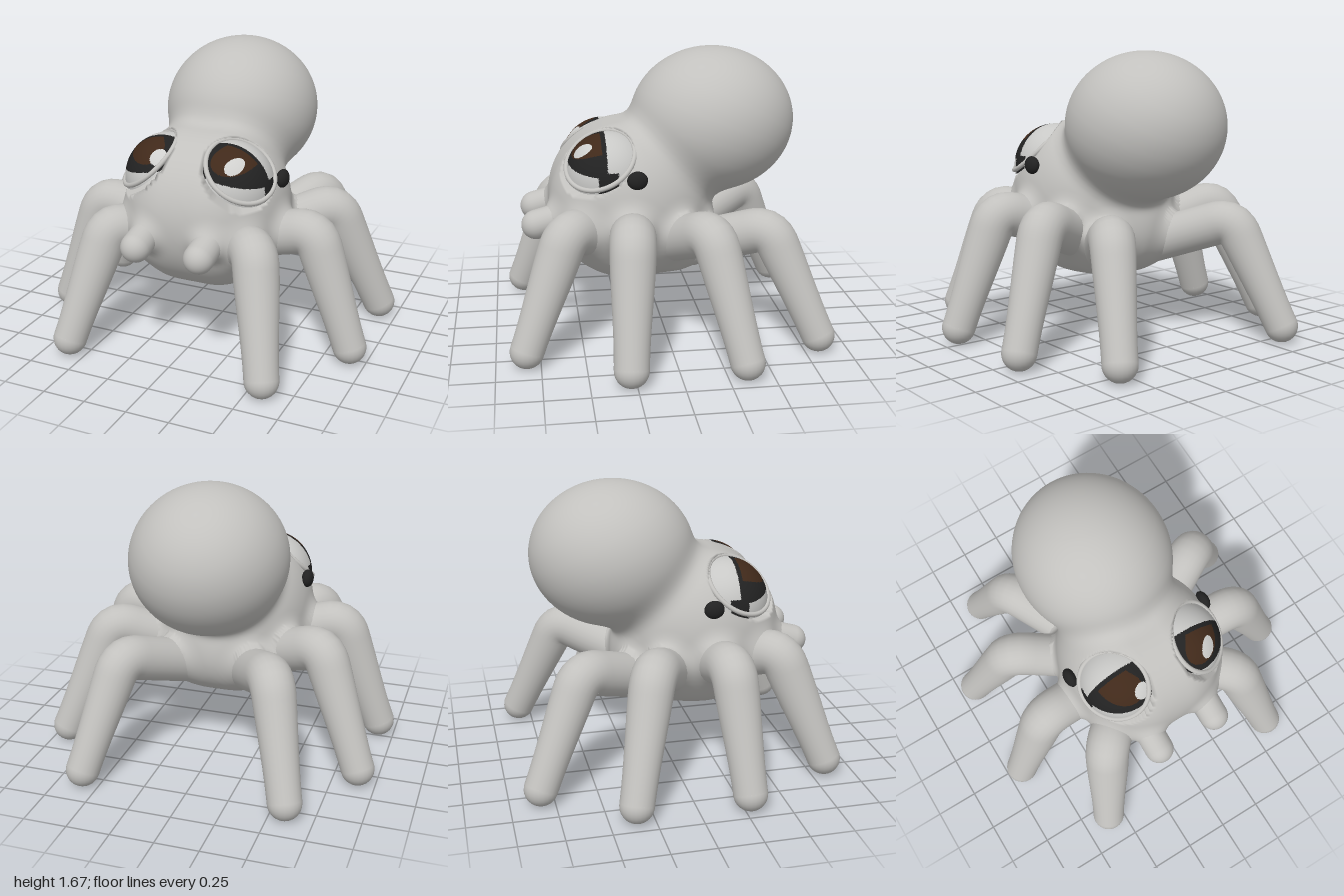
import * as THREE from 'three';
import { mergeVertices, mergeGeometries } from 'three/addons/utils/BufferGeometryUtils.js';

const V = (x, y, z) => new THREE.Vector3(x, y, z);
const material = (name, color, side = THREE.FrontSide) => {
  const m = new THREE.MeshStandardMaterial({ color, side });
  m.name = name;
  return m;
};

// Leg joints on the +x side, front to back
const LEGS = [
  { hip: V(0.2, 0.62, 0.35), knee: V(0.445, 0.74, 0.58), foot: V(0.59, 0.097, 0.825) },
  { hip: V(0.25, 0.64, 0.2), knee: V(0.665, 0.755, 0.24), foot: V(0.905, 0.097, 0.28) },
  { hip: V(0.22, 0.58, 0.02), knee: V(0.64, 0.755, -0.2), foot: V(0.895, 0.097, -0.35) },
  { hip: V(0.15, 0.52, -0.1), knee: V(0.44, 0.705, -0.565), foot: V(0.59, 0.097, -0.825) },
];
// Feelers and eye opening on the +x side
const FEELER = { a: V(0.19, 0.745, 0.58), b: V(0.19, 0.7, 0.745), radius: 0.085 };
const EYE = { rim: V(0.275, 1.09, 0.38), out: V(0.565, 0.735, 0.38).normalize(), rimRadius: 0.2, depth: 0.15 };
const eyeRadius = Math.hypot(EYE.rimRadius, EYE.depth);

// Distance helpers for the blended body
function ellipsoid(p, c, r) {
  const q = p.clone().sub(c).divide(r);
  const k0 = q.length(), k1 = q.divide(r).length();
  return k1 < 1e-6 ? -Math.min(r.x, r.y, r.z) : k0 * (k0 - 1) / k1;
}
function capsule(p, a, b, r) {
  const ab = b.clone().sub(a), ap = p.clone().sub(a);
  const t = THREE.MathUtils.clamp(ap.dot(ab) / ab.lengthSq(), 0, 1);
  return ap.addScaledVector(ab, -t).length() - r;
}
function blend(a, b, k) {
  const h = Math.max(k - Math.abs(a - b), 0) / k;
  return Math.min(a, b) - h * h * k * 0.25;
}

const head = V(0, 0.8, 0.2), headRadii = V(0.385, 0.465, 0.465), headFlat = 0.09;
const belly = V(0, 0.63, -0.02), bellyRadii = V(0.31, 0.28, 0.3);
const abdomen = V(0, 1.25, -0.3), abdomenRadii = V(0.447, 0.424, 0.48);
const neckA = V(0, 0.9, 0.08), neckB = V(0, 1.1, -0.15);
const roots = LEGS.map(l => ({ a: l.hip, b: l.hip.clone().lerp(l.knee, 0.6) }));
const socket = EYE.rim.clone().addScaledVector(EYE.out, 0.05);
function bodyDistance(p) {
  const q = V(Math.abs(p.x), p.y, p.z);
  const wide = V(Math.max(q.x - headFlat, 0), p.y, p.z);
  let d = blend(ellipsoid(wide, head, headRadii), ellipsoid(p, belly, bellyRadii), 0.1);
  d = blend(d, capsule(p, neckA, neckB, 0.29), 0.08);
  d = blend(d, ellipsoid(p, abdomen, abdomenRadii), 0.1);
  for (const r of roots) d = blend(d, capsule(q, r.a, r.b, 0.1), 0.12);
  d = blend(d, capsule(q, FEELER.a, FEELER.a.clone().lerp(FEELER.b, 0.4), 0.07), 0.09);
  return Math.max(d, 0.206 - q.distanceTo(socket));
}

// Sphere whose vertices are pushed out to the blended body surface
function bodyGeometry() {
  let g = new THREE.SphereGeometry(1, 180, 130);
  g.deleteAttribute('uv');
  g.deleteAttribute('normal');
  g = mergeVertices(g, 1e-5);
  const origin = V(0, 0.95, 0), pos = g.attributes.position, dir = V(0, 0, 0);
  for (let i = 0; i < pos.count; i++) {
    dir.fromBufferAttribute(pos, i).normalize();
    let t = 0.05;
    for (let s = 0; s < 60; s++) {
      const d = bodyDistance(origin.clone().addScaledVector(dir, t));
      if (Math.abs(d) < 5e-4) break;
      t -= d * 0.8;
    }
    pos.setXYZ(i, ...origin.clone().addScaledVector(dir, t).toArray());
  }
  g.computeVertexNormals();
  return g;
}

// Bent tube, thick at the knee and narrowing to a round foot
function legGeometry({ hip, knee, foot }) {
  const toward = (p, d) => knee.clone().add(p.clone().sub(knee).setLength(d));
  const bendIn = toward(hip, 0.11), bendOut = toward(foot, 0.11);
  const path = new THREE.CurvePath();
  path.add(new THREE.LineCurve3(hip, bendIn));
  path.add(new THREE.QuadraticBezierCurve3(bendIn, knee, bendOut));
  path.add(new THREE.LineCurve3(bendOut, foot));
  const steps = 40, sides = 24, footRadius = 0.096;
  const tube = new THREE.TubeGeometry(path, steps, 1, sides, false);
  const pos = tube.attributes.position, p = V(0, 0, 0);
  for (let i = 0; i <= steps; i++) {
    const c = path.getPointAt(i / steps);
    const radius = THREE.MathUtils.lerp(0.128, footRadius, THREE.MathUtils.smoothstep(i / steps, 0.35, 1));
    for (let j = 0; j <= sides; j++) {
      const k = i * (sides + 1) + j;
      p.fromBufferAttribute(pos, k).sub(c).multiplyScalar(radius).add(c);
      pos.setXYZ(k, p.x, p.y, p.z);
    }
  }
  const tip = new THREE.SphereGeometry(footRadius, 24, 16).translate(foot.x, foot.y, foot.z);
  return mergeGeometries([tube, tip]);
}

// Eye colours by region: 0 white, 1 black, 2 brown, 3 glint
function eyeRegion(p, side) {
  const u = Math.abs(p.x);
  if (p.z < 0.35) return p.y < 1.05 && p.z > 0.29 ? 1 : 0;
  if (p.y < 1.05 && p.z < 0.4) return 1;
  if (p.y < 1.085 - 0.2 * (u - 0.12)) return 0;
  const gx = side > 0 ? 0.28 : -0.165;
  if (Math.hypot((p.x - gx) / 0.047, (p.y - 1.145) / 0.038) < 1) return 3;
  if (Math.hypot((u - 0.265) / 0.12, (p.y - 1.17) / 0.068) < 1 && p.z > 0.375) return 2;
  return 1;
}
function eyeGeometry(side, rim, out) {
  const c = rim.clone().addScaledVector(out, -EYE.depth);
  const g = new THREE.SphereGeometry(eyeRadius, 128, 64, 0, Math.PI * 2, 0, Math.PI * 0.33);
  g.applyQuaternion(new THREE.Quaternion().setFromUnitVectors(V(0, 1, 0), out));
  g.translate(c.x, c.y, c.z);
  const lists = [[], [], [], []], idx = g.index.array, mid = V(0, 0, 0), v = V(0, 0, 0);
  for (let i = 0; i < idx.length; i += 3) {
    mid.set(0, 0, 0);
    for (let k = 0; k < 3; k++) mid.add(v.fromBufferAttribute(g.attributes.position, idx[i + k]));
    lists[eyeRegion(mid.divideScalar(3), side)].push(idx[i], idx[i + 1], idx[i + 2]);
  }
  g.setIndex(lists.flat());
  let start = 0;
  lists.forEach((l, m) => { g.addGroup(start, l.length, m); start += l.length; });
  return g;
}

export function createModel() {
  const model = new THREE.Group();
  model.name = 'spider';
  const skin = material('grey skin', 0xc2c1be, THREE.DoubleSide);
  const black = material('black', 0x222222);
  const eyeMaterials = [material('eye white', 0xc8c8c6), black, material('iris brown', 0x40291a), material('glint', 0xcfcfcd)];
  const add = (name, geometry, mat) => {
    const mesh = new THREE.Mesh(geometry, mat);
    mesh.name = name;
    model.add(mesh);
    return mesh;
  };

  add('body', bodyGeometry(), skin);

  for (const side of [1, -1]) {
    const label = side > 0 ? 'left' : 'right';
    const mirror = p => V(p.x * side, p.y, p.z);

    // Legs
    LEGS.forEach((l, i) => add(`${label}Leg${i + 1}`,
      legGeometry({ hip: mirror(l.hip), knee: mirror(l.knee), foot: mirror(l.foot) }), skin));

    // Short feelers below the face
    const a = mirror(FEELER.a), b = mirror(FEELER.b), axis = b.clone().sub(a);
    const feeler = add(`${label}Feeler`, new THREE.CapsuleGeometry(FEELER.radius, axis.length(), 10, 24), skin);
    feeler.position.copy(a).lerp(b, 0.5);
    feeler.quaternion.setFromUnitVectors(V(0, 1, 0), axis.normalize());

    // Shallow eye with a thin lid around it
    const rim = mirror(EYE.rim), out = mirror(EYE.out);
    add(`${label}Eye`, eyeGeometry(side, rim, out), eyeMaterials);
    const lid = add(`${label}Eyelid`, new THREE.TorusGeometry(EYE.rimRadius + 0.004, 0.014, 12, 64), skin);
    lid.position.copy(rim);
    lid.quaternion.setFromUnitVectors(V(0, 0, 1), out);

    // Small dark side eye
    const spot = add(`${label}SideEye`, new THREE.SphereGeometry(1, 20, 14), black);
    spot.scale.set(0.035, 0.052, 0.058);
    spot.position.set(0.45 * side, 1.01, 0.19);
  }
  return model;
}
